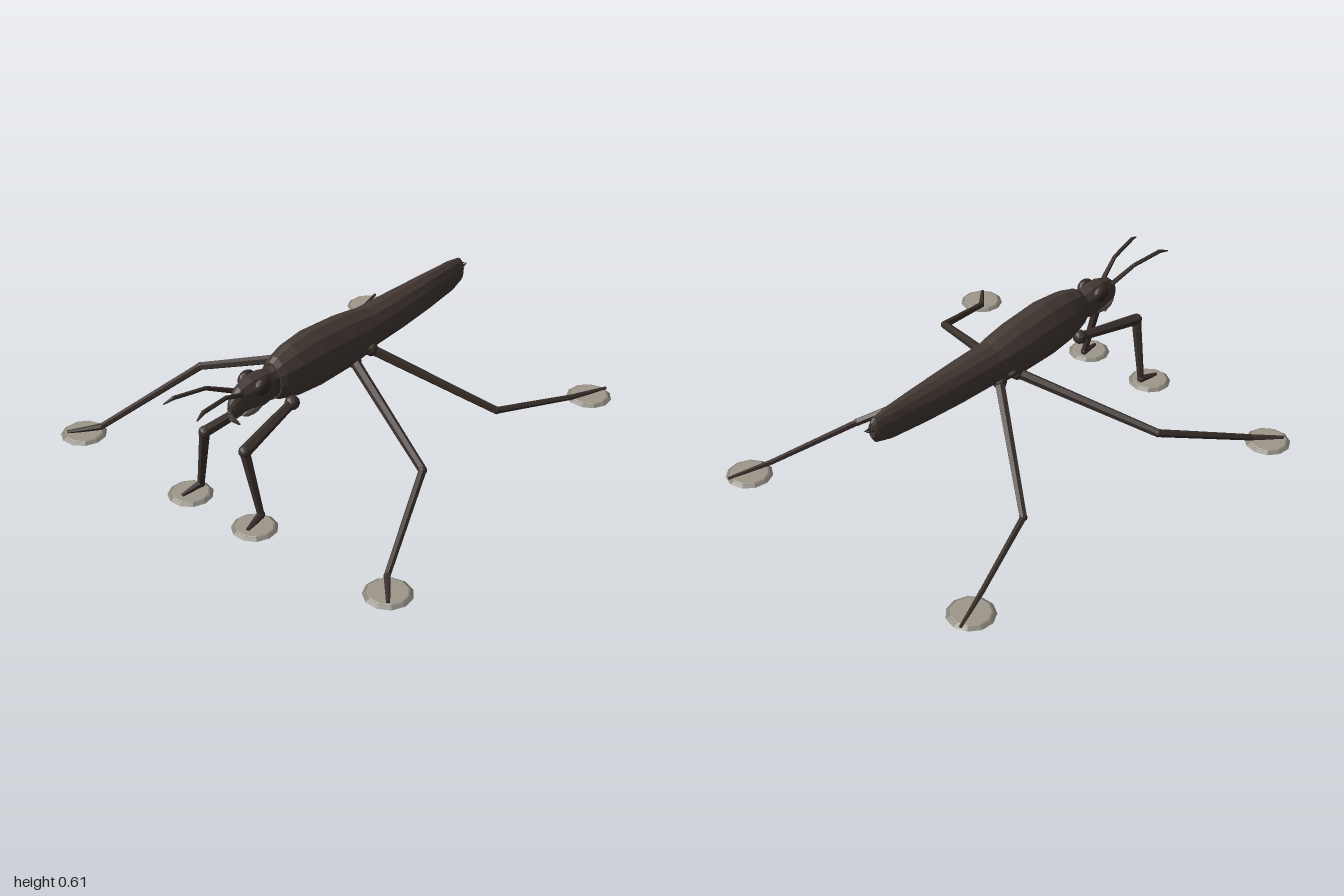
import * as THREE from 'three';

const mat = (name, color, extra = {}) => {
  const m = new THREE.MeshStandardMaterial({ color, flatShading: true, ...extra });
  m.name = name;
  return m;
};

// Closed skin over oval rings; each ring is [z, halfWidth, bottom, top], z rising
function loft(rings, sides, peak = 1) {
  const pos = [], idx = [];
  for (const [z, w, lo, hi] of rings) {
    const mid = lo + (hi - lo) * 0.46;
    for (let j = 0; j < sides; j++) {
      const a = (j / sides) * Math.PI * 2, c = Math.cos(a), s = Math.sin(a);
      const x = w * Math.sign(c) * Math.pow(Math.abs(c), s > 0 ? peak : 1);
      pos.push(x, mid + s * (s > 0 ? hi - mid : mid - lo), z);
    }
  }
  for (let i = 0; i < rings.length - 1; i++) {
    for (let j = 0; j < sides; j++) {
      const k = (j + 1) % sides, a = i * sides + j, b = i * sides + k;
      idx.push(a, b, b + sides, a, b + sides, a + sides);
    }
  }
  const last = (rings.length - 1) * sides;
  for (let j = 1; j < sides - 1; j++) {
    idx.push(0, j + 1, j, last, last + j, last + j + 1);
  }
  const g = new THREE.BufferGeometry();
  g.setAttribute('position', new THREE.Float32BufferAttribute(pos, 3));
  g.setIndex(idx);
  g.computeVertexNormals();
  return g;
}

export function createModel() {
  const model = new THREE.Group();
  model.name = 'pondSkater';
  const shell = mat('dark brown shell', 0x453a35);
  const limb = mat('limb brown', 0x3b312d);
  const eyeMat = mat('eye brown', 0x342b28);
  const silver = mat('pale underside', 0x6b6359);
  const padMat = mat('pad grey', 0x9d978b);
  const rimMat = mat('pad rim grey', 0x858177);

  const add = (name, geo, material, parent = model) => {
    const m = new THREE.Mesh(geo, material);
    m.name = name;
    parent.add(m);
    return m;
  };

  // Chain of tapered rods through points, with a faceted knob at each bend
  const chain = (name, pts, radii, material, parent = model, sides = 6) => {
    const v = pts.map(p => new THREE.Vector3(...p));
    for (let i = 0; i < v.length - 1; i++) {
      const dir = v[i + 1].clone().sub(v[i]);
      const [r0, r1] = radii[i];
      const rod = add(name + 'Segment' + (i + 1),
        new THREE.CylinderGeometry(r1, r0, dir.length(), sides), material, parent);
      rod.position.copy(v[i]).addScaledVector(dir, 0.5);
      rod.quaternion.setFromUnitVectors(new THREE.Vector3(0, 1, 0), dir.normalize());
      if (i > 0) {
        add(name + 'Joint' + i, new THREE.IcosahedronGeometry(Math.max(r0, radii[i - 1][1]), 1),
          material, parent).position.copy(v[i]);
      }
    }
  };

  // Body
  add('thorax', loft([
    [-0.10, 0.080, 0.375, 0.563], [-0.06, 0.090, 0.355, 0.572], [0.05, 0.097, 0.342, 0.592],
    [0.25, 0.098, 0.340, 0.610], [0.38, 0.088, 0.352, 0.597], [0.46, 0.070, 0.375, 0.572],
    [0.485, 0.058, 0.390, 0.555],
  ], 14, 1.2), shell);
  add('abdomen', loft([
    [-0.77, 0.018, 0.445, 0.520], [-0.755, 0.028, 0.420, 0.537], [-0.68, 0.042, 0.398, 0.548],
    [-0.50, 0.058, 0.382, 0.554], [-0.30, 0.073, 0.372, 0.558], [-0.08, 0.083, 0.367, 0.562],
  ], 14, 1.1), shell);
  add('neck', loft([[0.46, 0.056, 0.395, 0.55], [0.52, 0.044, 0.405, 0.53]], 12), limb);
  add('head', loft([
    [0.495, 0.046, 0.400, 0.535], [0.55, 0.054, 0.393, 0.550], [0.62, 0.050, 0.392, 0.552],
    [0.68, 0.036, 0.398, 0.533], [0.715, 0.024, 0.410, 0.500], [0.73, 0.012, 0.430, 0.475],
  ], 12), shell);
  chain('beak', [[0, 0.44, 0.72], [0, 0.40, 0.715], [0, 0.355, 0.675]],
    [[0.014, 0.012], [0.012, 0.004]], silver);

  for (const s of [1, -1]) {
    const side = s > 0 ? 'left' : 'right';
    // Eyes, cheeks and pale flank patches
    const eye = add(side + 'Eye', new THREE.IcosahedronGeometry(0.042, 2), eyeMat);
    eye.position.set(s * 0.044, 0.508, 0.583);
    eye.scale.set(0.65, 0.9, 1.05);
    const cheek = add(side + 'Cheek', new THREE.IcosahedronGeometry(0.04, 1), silver);
    cheek.position.set(s * 0.028, 0.415, 0.63);
    cheek.scale.set(0.45, 0.5, 1.4);
    const patch = add(side + 'FlankPatch', new THREE.IcosahedronGeometry(0.025, 1), silver);
    patch.position.set(s * 0.084, 0.425, -0.04);
    patch.scale.set(0.3, 0.5, 0.9);

    // Antennae, mouth feelers and tail prongs
    chain(side + 'Antenna',
      [[s * 0.025, 0.505, 0.68], [s * 0.055, 0.562, 0.80], [s * 0.08, 0.578, 0.95], [s * 0.091, 0.566, 0.995]],
      [[0.011, 0.009], [0.009, 0.009], [0.009, 0.003]], limb);
    chain(side + 'TailProng', [[s * 0.01, 0.485, -0.76], [s * 0.005, 0.493, -0.803]],
      [[0.008, 0.002]], limb);

    // Legs: points from hip to toe tip, rod radii, pad centre and radius
    const legs = [
      ['Front', [[0.06, 0.365, 0.43], [0.11, 0.318, 0.765], [0.168, 0.03, 0.745], [0.183, 0.014, 0.84]],
        [[0.02, 0.026], [0.022, 0.015], [0.017, 0.008]], [0.18, 0.795], 0.096],
      ['Middle', [[0.05, 0.375, 0.03], [0.62, 0.203, 0.28], [0.80, 0.028, 0.72], [0.895, 0.015, 0.83]],
        [[0.023, 0.018], [0.017, 0.014], [0.014, 0.008]], [0.85, 0.775], 0.10],
      ['Hind', [[0.05, 0.385, -0.08], [0.482, 0.092, -0.412], [0.612, 0.027, -0.80], [0.675, 0.013, -0.985]],
        [[0.023, 0.017], [0.015, 0.012], [0.012, 0.007]], [0.645, -0.895], 0.101],
    ];
    for (const [name, pts, radii, [px, pz], r] of legs) {
      const leg = new THREE.Group();
      leg.name = side + name + 'Leg';
      model.add(leg);
      chain(side + name + 'Leg', pts.map(([x, y, z]) => [s * x, y, z]), radii, limb, leg);
      const hip = add('hip', new THREE.IcosahedronGeometry(0.032, 1), limb, leg);
      hip.position.set(s * pts[0][0], pts[0][1], pts[0][2]);

      // Shallow floating pad: bevelled rim around a paler centre
      const pad = new THREE.Group();
      pad.name = side + name + 'Pad';
      pad.position.set(s * px, 0, pz);
      pad.rotation.y = s * 0.25;
      leg.add(pad);
      add('padRim', new THREE.CylinderGeometry(r * 0.86, r, 0.01, 11), rimMat, pad).position.y = 0.005;
      add('padCentre', new THREE.CylinderGeometry(r * 0.8, r * 0.84, 0.003, 11), padMat, pad).position.y = 0.011;
    }
  }
  return model;
}
